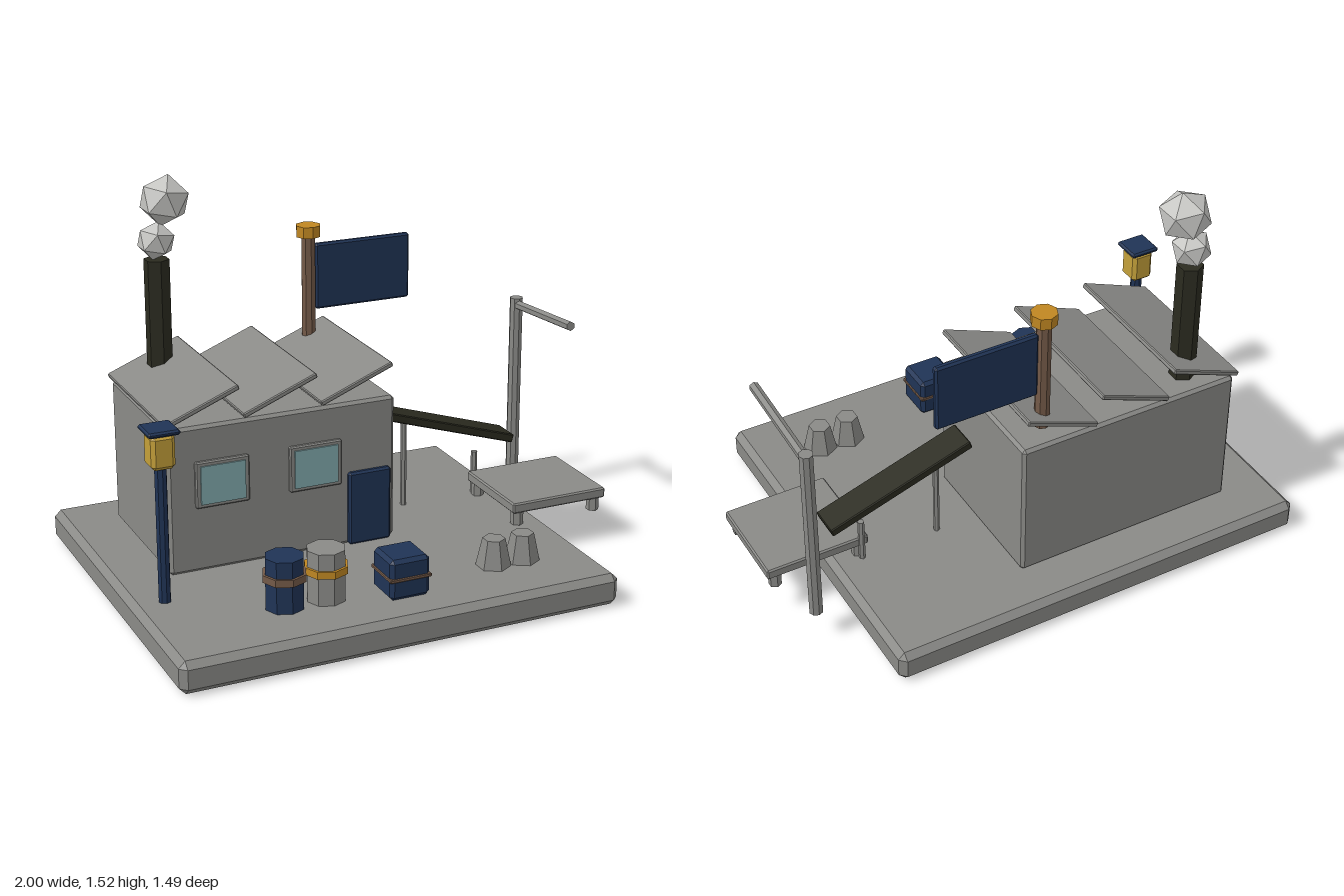
import * as THREE from 'three';
import { ConvexGeometry } from 'three/addons/geometries/ConvexGeometry.js';

const paint = (name, color) => {
  const m = new THREE.MeshStandardMaterial({ color });
  m.name = name;
  return m;
};

// Box with every edge and corner cut at 45 degrees
function chamferBox(w, h, d, c) {
  const pts = [];
  for (const sx of [-1, 1]) for (const sy of [-1, 1]) for (const sz of [-1, 1]) {
    const x = w / 2, y = h / 2, z = d / 2;
    for (const [a, b, e] of [[0, c, c], [c, 0, c], [c, c, 0]])
      pts.push(new THREE.Vector3(sx * (x - a), sy * (y - b), sz * (z - e)));
  }
  return new ConvexGeometry(pts);
}

// Faceted prism or cone with flat normals
function prism(rTop, rBottom, h, sides) {
  const g = new THREE.CylinderGeometry(rTop, rBottom, h, sides).toNonIndexed();
  g.computeVertexNormals();
  return g;
}

export function createModel() {
  const root = new THREE.Group();
  root.name = 'workshopYard';

  const grey = paint('concreteGrey', 0x8a8a87);
  const navy = paint('navy', 0x203456);
  const dark = paint('sootDark', 0x2b2b20);
  const brown = paint('brown', 0x745a48);
  const amber = paint('amber', 0xc08722);
  const gold = paint('lampGold', 0xc4a03a);
  const glass = paint('glass', 0x83abaf);
  const pale = paint('smokePale', 0xc6c6c3);

  const add = (name, geo, mat, x, y, z, parent = root) => {
    const m = new THREE.Mesh(geo, mat);
    m.name = name;
    m.position.set(x, y, z);
    parent.add(m);
    return m;
  };
  const ground = 0.125;
  // Upright prism between two heights
  const post = (name, mat, x, z, y0, y1, r, sides, rTop = r) =>
    add(name, prism(rTop, r, y1 - y0, sides), mat, x, (y0 + y1) / 2, z);

  // Ground slab and building
  add('baseSlab', chamferBox(1.73, 0.125, 1.488, 0.025), grey, -0.135, 0.0625, 0);
  add('buildingWalls', chamferBox(0.915, 0.575, 0.622, 0.012), grey, -0.333, 0.412, -0.247);

  // Sawtooth roof
  for (let i = 0; i < 3; i++) {
    const panel = add('roofPanel', chamferBox(0.315, 0.02, 0.642, 0.004), grey,
      -0.655 + i * 0.31, 0.772, -0.247);
    panel.rotation.z = 0.38;
  }

  // Windows and door
  for (const x of [-0.581, -0.207]) {
    add('windowFrame', chamferBox(0.212, 0.182, 0.03, 0.005), grey, x, 0.472, 0.064);
    add('windowPane', new THREE.BoxGeometry(0.176, 0.15, 0.008), glass, x, 0.472, 0.081);
  }
  add('door', chamferBox(0.175, 0.295, 0.04, 0.008), navy, 0.015, 0.2725, 0.063);

  // Chimney and smoke puffs
  post('chimney', dark, -0.631, -0.444, 0.69, 1.195, 0.05, 6);
  for (const [x, y, r] of [[-0.631, 1.266, 0.076], [-0.593, 1.418, 0.1]]) {
    const puff = add('smokePuff', new THREE.IcosahedronGeometry(r, 0), pale, x, y, -0.444);
    puff.rotation.z = 0.37;
  }

  // Flagpole
  post('flagPole', brown, 0.015, -0.496, 0.745, 1.2, 0.029, 8);
  post('flagPoleCap', amber, 0.015, -0.496, 1.198, 1.243, 0.05, 8);
  add('flag', chamferBox(0.41, 0.268, 0.028, 0.008), navy, 0.247, 1.03, -0.498);

  // Street lamp
  post('lampPost', navy, -0.88, 0.25, ground, 0.66, 0.023, 8);
  add('lantern', chamferBox(0.09, 0.13, 0.095, 0.014), gold, -0.88, 0.711, 0.25);
  add('lanternCap', chamferBox(0.12, 0.02, 0.12, 0.007), navy, -0.88, 0.785, 0.25);

  // Barrels
  for (const [x, body, band] of [[-0.505, navy, brown], [-0.343, grey, amber]]) {
    post('barrel', body, x, 0.47, ground, 0.325, 0.074, 8);
    post('barrelBand', band, x, 0.47, 0.234, 0.262, 0.084, 8);
  }

  // Strapped crate
  add('crate', chamferBox(0.158, 0.158, 0.158, 0.014), navy, -0.068, 0.204, 0.525);
  add('crateStrap', chamferBox(0.166, 0.014, 0.166, 0.003), brown, -0.068, 0.206, 0.525);

  // Upturned buckets
  for (const x of [0.342, 0.464])
    post('bucket', grey, x, 0.47, ground, 0.235, 0.067, 6, 0.043);

  // Chute with its two supports
  const chute = add('chute', chamferBox(0.614, 0.034, 0.124, 0.004), dark, 0.464, 0.447, -0.197);
  chute.rotation.z = -0.311;
  post('chuteSupport', grey, 0.291, -0.195, ground, 0.495, 0.012, 6);
  post('chuteSupport', grey, 0.61, -0.195, ground, 0.303, 0.013, 6);

  // Loading table
  add('tableTop', chamferBox(0.415, 0.042, 0.388, 0.006), grey, 0.788, 0.2, 0);
  for (const x of [0.613, 0.957])
    for (const z of [-0.165, 0.163])
      post('tableLeg', grey, x, z, ground, 0.185, 0.025, 6);

  // Crane mast and jib
  post('craneMast', grey, 0.887, -0.371, ground, 0.87, 0.027, 8);
  const jib = add('craneJib', prism(0.019, 0.019, 0.436, 6), grey, 0.887, 0.856, -0.154);
  jib.rotation.x = Math.PI / 2 - 0.07;

  return root;
}
